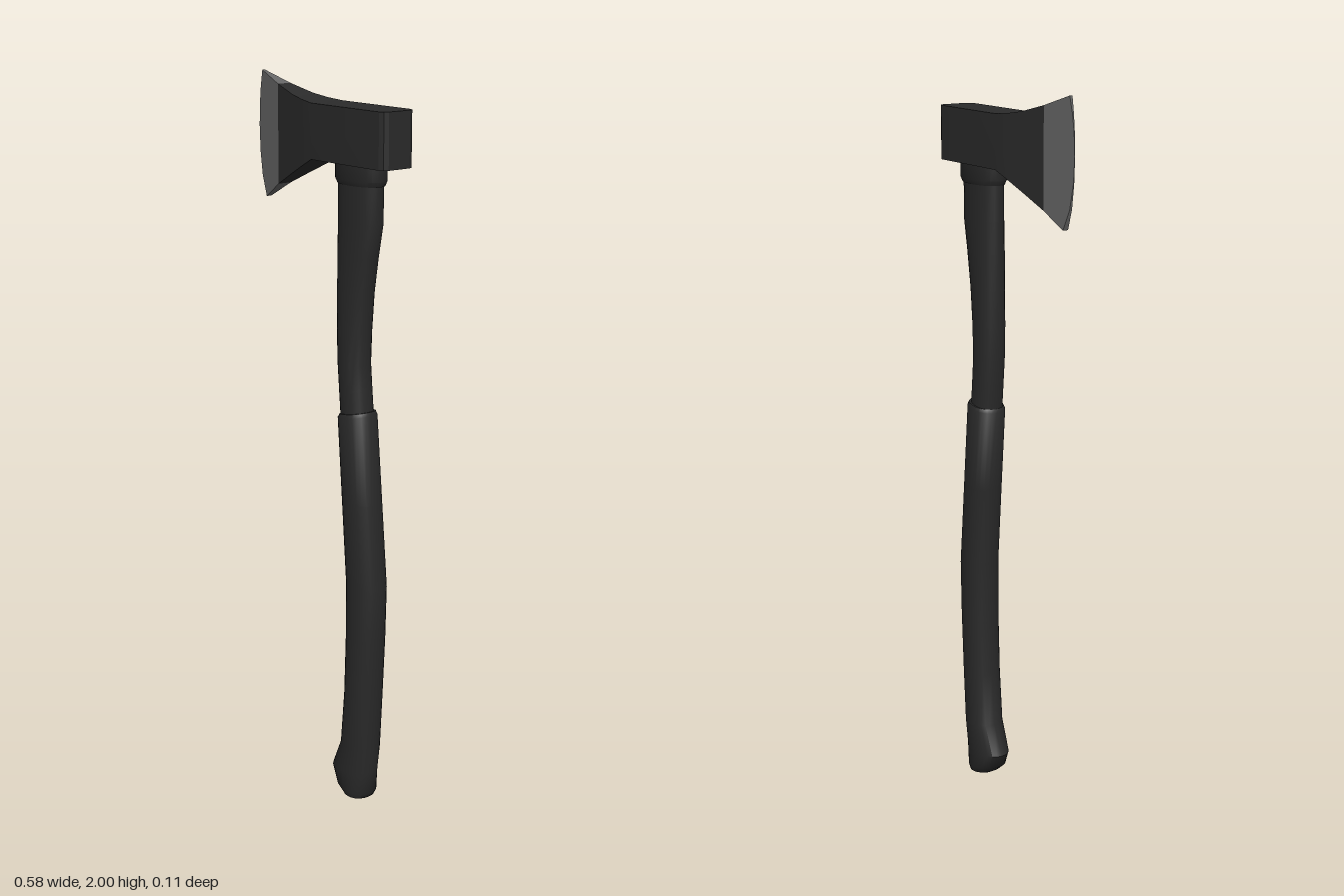
import * as THREE from 'three';
import { toCreasedNormals } from 'three/addons/utils/BufferGeometryUtils.js';

const headMetal = new THREE.MeshStandardMaterial({ color: 0x2b2b2b, name: 'dark head' });
const bladeSteel = new THREE.MeshStandardMaterial({ color: 0x666666, name: 'ground steel' });
const handleBlack = new THREE.MeshStandardMaterial({ color: 0x292929, name: 'black handle' });

// Closed skin through equal-sized rings of points, capped at both ends
function loft(rings, crease) {
  const n = rings[0].length;
  const pos = [];
  const tri = (...pts) => pts.forEach((p) => pos.push(...p));
  const middle = (ring) => [0, 1, 2].map((k) => ring.reduce((s, p) => s + p[k], 0) / n);
  const first = rings[0], last = rings[rings.length - 1];
  for (let i = 0; i < n; i++) {
    const j = (i + 1) % n;
    for (let r = 0; r + 1 < rings.length; r++) {
      const a = rings[r], b = rings[r + 1];
      tri(a[i], a[j], b[j]);
      tri(a[i], b[j], b[i]);
    }
    tri(middle(first), first[j], first[i]);
    tri(middle(last), last[i], last[j]);
  }
  const geo = new THREE.BufferGeometry();
  geo.setAttribute('position', new THREE.Float32BufferAttribute(pos, 3));
  return toCreasedNormals(geo, crease);
}

// Oval ring between a left and a right silhouette point, with half depth d
function oval([lx, ly, rx, ry, d]) {
  const ring = [];
  const soft = (v) => Math.sign(v) * Math.abs(v) ** 0.9;
  for (let i = 0; i < 24; i++) {
    const t = (i / 24) * Math.PI * 2;
    const c = soft(Math.cos(t));
    ring.push([
      (lx + rx) / 2 + (c * (rx - lx)) / 2,
      (ly + ry) / 2 + (c * (ry - ly)) / 2,
      d * soft(Math.sin(t)),
    ]);
  }
  return ring;
}

export function createModel() {
  const group = new THREE.Group();
  group.name = 'axe';
  const add = (name, geometry, material) => {
    const mesh = new THREE.Mesh(geometry, material);
    mesh.name = name;
    group.add(mesh);
  };

  // Head: x, top, bottom, half thickness from cheek to poll
  const stations = [
    [-0.18, 1.97, 1.703, 0.021],
    [-0.1, 1.949, 1.743, 0.035],
    [-0.05, 1.941, 1.767, 0.044],
    [0, 1.936, 1.79, 0.053],
    [0.27, 1.936, 1.79, 0.053],
    [0.282, 1.936, 1.79, 0.047],
    [0.288, 1.936, 1.79, 0.035],
  ];
  add('axeHead', loft(stations.map(([x, top, bottom, d]) => [
    [x, top, -d], [x, top, d], [x, bottom, d], [x, bottom, -d],
  ]), 0.4), headMetal);

  // Cutting bit: edge x, edge y, y where it meets the head
  const edge = [
    [-0.27, 2, 1.97],
    [-0.28, 1.955, 1.93],
    [-0.286, 1.91, 1.89],
    [-0.289, 1.85, 1.845],
    [-0.285, 1.78, 1.795],
    [-0.273, 1.715, 1.745],
    [-0.25, 1.66, 1.703],
  ];
  add('cuttingEdge', loft(edge.map(([x, y, innerY]) => {
    const d = 0.0005 + 0.19 * (x + 0.289);
    return [[-0.18, innerY, -0.021], [-0.18, innerY, 0.021], [x, y, d], [x, y, -d]];
  }), 0.4), bladeSteel);

  // Handle sections, top to bottom: left x, left y, right x, right y, half depth
  add('collar', loft([
    [0.056, 1.8, 0.224, 1.8, 0.048],
    [0.056, 1.75, 0.224, 1.75, 0.048],
    [0.062, 1.737, 0.218, 1.737, 0.043],
  ].map(oval), 0.5), handleBlack);

  add('upperHandle', loft([
    [0.064, 1.78, 0.214, 1.78, 0.041],
    [0.064, 1.64, 0.214, 1.64, 0.041],
    [0.064, 1.55, 0.195, 1.55, 0.041],
    [0.065, 1.45, 0.177, 1.45, 0.041],
    [0.066, 1.35, 0.167, 1.35, 0.041],
    [0.07, 1.26, 0.162, 1.26, 0.041],
    [0.077, 1.18, 0.168, 1.19, 0.041],
    [0.086, 1.08, 0.177, 1.1, 0.041],
  ].map(oval), 0.6), handleBlack);

  add('grip', loft([
    [0.083, 1.117, 0.179, 1.133, 0.046],
    [0.077, 1.107, 0.184, 1.123, 0.05],
    [0.095, 0.88, 0.207, 0.88, 0.05],
    [0.112, 0.66, 0.23, 0.64, 0.05],
    [0.113, 0.48, 0.225, 0.5, 0.05],
    [0.108, 0.32, 0.215, 0.32, 0.05],
    [0.093, 0.165, 0.207, 0.165, 0.05],
    [0.054, 0.08, 0.201, 0.09, 0.05],
    [0.076, 0.036, 0.194, 0.023, 0.049],
    [0.106, 0.012, 0.184, 0.008, 0.043],
    [0.125, 0.001, 0.165, 0, 0.02],
  ].map(oval), 0.7), handleBlack);

  return group;
}
